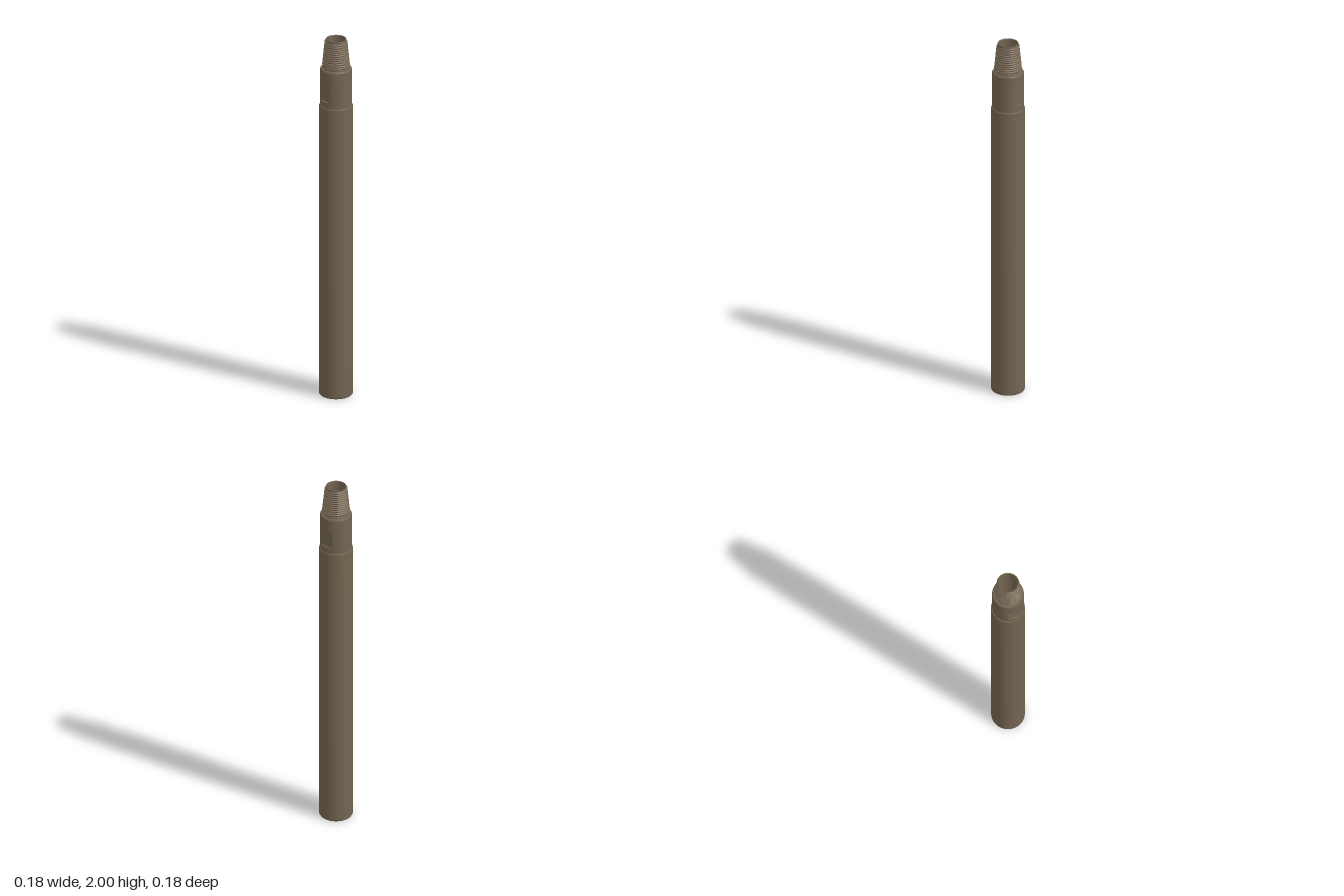
import * as THREE from 'three';
import { toCreasedNormals } from 'three/addons/utils/BufferGeometryUtils.js';

const SEGMENTS = 64;

export function createModel() {
  const model = new THREE.Group();
  model.name = 'drillRod';

  const steel = new THREE.MeshStandardMaterial({ color: 0x746552 });
  steel.name = 'brown steel';

  const add = (name, geometry) => {
    const mesh = new THREE.Mesh(toCreasedNormals(geometry, 0.35), steel);
    mesh.name = name;
    model.add(mesh);
  };
  const lathe = (points) =>
    new THREE.LatheGeometry(points.map(([r, y]) => new THREE.Vector2(r, y)), SEGMENTS);

  // Tapered helical thread: ridge profile revolved, then lifted by one pitch per turn.
  function thread(y0, y1, rootAt0, slope, depth) {
    const pitch = 0.0115;
    const turns = Math.floor((y1 - y0) / pitch) - 1;
    const ridge = [[0, 0], [0.4, 1], [0.6, 1]];
    const points = [];
    for (let i = 0; i < turns; i++) {
      for (const [t, h] of ridge) {
        const y = y0 + (i + t) * pitch;
        points.push([rootAt0 - slope * (y - y0) + h * depth, y]);
      }
    }
    const yEnd = y0 + turns * pitch;
    points.push([rootAt0 - slope * (yEnd - y0), yEnd]);
    if (depth < 0) points.reverse(); // internal thread faces the axis
    const geometry = lathe(points);
    const { position, uv } = geometry.attributes;
    for (let i = 0; i < position.count; i++) {
      const lift = pitch * uv.getX(i);
      const x = position.getX(i), z = position.getZ(i);
      const r = Math.hypot(x, z);
      const k = (r - slope * lift) / r;
      position.setXYZ(i, x * k, position.getY(i) + lift, z * k);
    }
    return geometry;
  }

  // Main tube with the tapered socket in its foot
  add('body', lathe([
    [0, 0.17], [0.057, 0.17], [0.074, 0.005], [0.077, 0], [0.084, 0],
    [0.088, 0.006], [0.088, 1.628], [0.086, 1.632], [0.053, 1.632],
  ]));
  add('socketThread', thread(0.012, 0.165, 0.0735, 0.1, -0.005));

  // Neck below and above the wrench flats
  add('lowerNeck', lathe([
    [0.053, 1.63], [0.083, 1.63], [0.083, 1.665], [0.053, 1.665],
  ]));
  add('upperNeck', lathe([
    [0.053, 1.765], [0.083, 1.765], [0.083, 1.832], [0.079, 1.84], [0.053, 1.84],
  ]));

  // Round section cut by two parallel flats, front and back
  const neckRadius = 0.083, flat = 0.074;
  const a = Math.asin(flat / neckRadius);
  const section = new THREE.Shape();
  section.absarc(0, 0, neckRadius, -a, a, false);
  section.absarc(0, 0, neckRadius, Math.PI - a, Math.PI + a, false);
  section.closePath();
  const hole = new THREE.Path();
  hole.absarc(0, 0, 0.052, 0, Math.PI * 2, true);
  section.holes.push(hole);
  const flats = new THREE.ExtrudeGeometry(section, { depth: 0.1, bevelEnabled: false, curveSegments: 24 });
  flats.rotateX(-Math.PI / 2);
  flats.translate(0, 1.665, 0);
  add('wrenchFlats', flats);

  // Tapered pin core with a blind bore
  add('pin', lathe([
    [0.072, 1.838], [0.072, 1.846], [0.069, 1.848], [0.0545, 1.994], [0.0535, 2],
    [0.052, 2], [0.05, 1.996], [0.05, 1.6], [0, 1.6],
  ]));
  add('pinThread', thread(1.846, 1.998, 0.069, 0.1, 0.005));

  return model;
}
